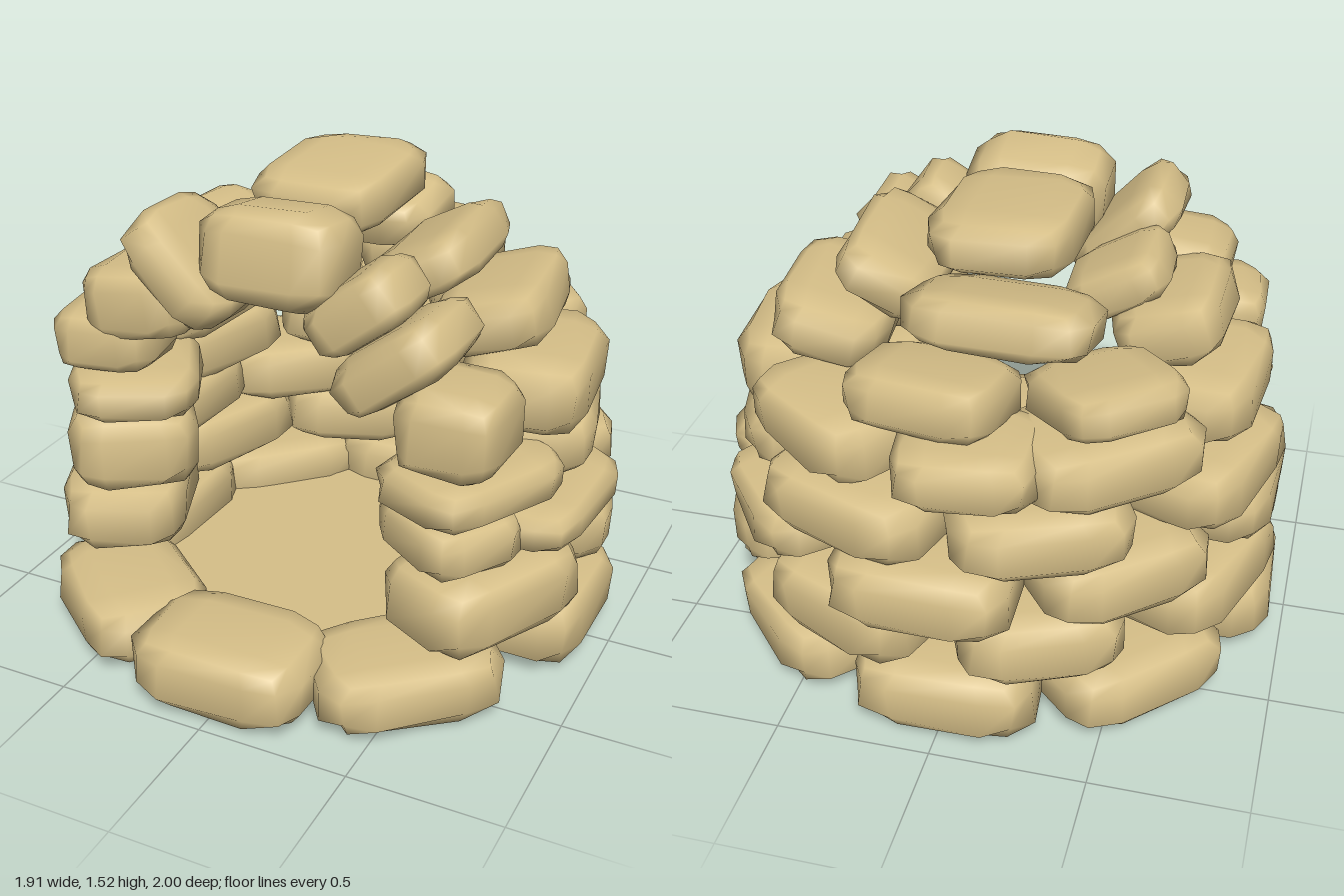
import * as THREE from 'three';
import { mergeVertices } from 'three/addons/utils/BufferGeometryUtils.js';

const rad = THREE.MathUtils.degToRad;
const material = new THREE.MeshStandardMaterial({ color: 0xd6bf88 });

// Pillow-shaped block with chamfered corners and a slightly uneven surface
function stoneGeometry(w, h, d, seed) {
  let g = new THREE.BoxGeometry(1, 1, 1, 3, 3, 3);
  g.deleteAttribute('uv');
  g.deleteAttribute('normal');
  g = mergeVertices(g);
  const p = g.attributes.position;
  const v = new THREE.Vector3();
  const spread = c => (Math.abs(c) > 0.4 ? c : Math.sign(c) * 0.25);
  const n = 3.2;
  for (let i = 0; i < p.count; i++) {
    v.set(spread(p.getX(i)), spread(p.getY(i)), spread(p.getZ(i)));
    const len = Math.pow(Math.abs(2 * v.x) ** n + Math.abs(2 * v.y) ** n + Math.abs(2 * v.z) ** n, 1 / n);
    const wobble = 1.06 + 0.04 * Math.sin(seed * 7.3 + i * 2.4);
    v.multiplyScalar(wobble / len);
    p.setXYZ(i, v.x * w, v.y * h, v.z * d);
  }
  g.computeVertexNormals();
  return g;
}

// Wall courses above the base: outer radius, then stones as
// [angle from front, bottom, top, width, own radius if different]
const courses = [
  { r: 0.94, stones: [[64, 0.2, 0.46, 0.62], [110, 0.23, 0.46, 0.52], [155, 0.22, 0.47, 0.56],
    [-159, 0.23, 0.46, 0.52], [-111, 0.23, 0.46, 0.62], [-66, 0.23, 0.48, 0.6]] },
  { r: 0.94, stones: [[57, 0.44, 0.62, 0.36, 0.87], [88, 0.46, 0.6, 0.62], [128, 0.44, 0.62, 0.54],
    [176, 0.42, 0.65, 0.58, 0.99], [-140, 0.43, 0.65, 0.56], [-94, 0.46, 0.66, 0.6], [-58, 0.46, 0.74, 0.38, 0.91]] },
  { r: 0.94, stones: [[64, 0.61, 0.76, 0.56, 0.87], [105, 0.6, 0.81, 0.58, 0.87], [157, 0.62, 0.84, 0.6],
    [-159, 0.63, 0.84, 0.55], [-108, 0.62, 0.84, 0.6], [-62, 0.73, 0.89, 0.54, 0.89]] },
  { r: 0.87, stones: [[98, 0.78, 1.03, 0.6], [143, 0.8, 1.02, 0.56], [-175, 0.85, 1.03, 0.44, 0.93],
    [-142, 0.82, 1.03, 0.58, 0.9], [-98, 0.84, 1.06, 0.58]] },
];

// Dome stones: [x, y, z, width, height, depth, facing angle, upward tilt]
const domeStones = [
  [0.52, 1.1, -0.15, 0.6, 0.2, 0.38, 97, 14],
  [0.08, 1.08, -0.6, 0.48, 0.19, 0.4, 172, 8],
  [-0.43, 1.09, -0.5, 0.42, 0.16, 0.42, -140, 8],
  [-0.56, 1.14, -0.02, 0.52, 0.21, 0.34, -92, 15],
  [0.33, 1.26, -0.08, 0.58, 0.18, 0.34, 92, 28],
  [-0.1, 1.26, -0.43, 0.58, 0.18, 0.36, 176, 12],
  [-0.38, 1.24, -0.02, 0.36, 0.16, 0.34, -90, 28],
  [-0.05, 1.43, -0.12, 0.45, 0.18, 0.59, 0, -3],
];

// Stones framing the doorway, in the same form
const archStones = [
  [0.58, 0.91, 0.38, 0.37, 0.28, 0.34, 90, 0],
  [0.41, 1.1, 0.39, 0.4, 0.19, 0.43, 90, 38],
  [0.26, 1.22, 0.35, 0.3, 0.2, 0.36, 90, 38],
  [-0.03, 1.34, 0.35, 0.47, 0.31, 0.33, 0, 8],
  [-0.35, 1.26, 0.33, 0.42, 0.18, 0.42, -90, 46],
  [-0.51, 1.13, 0.35, 0.38, 0.25, 0.36, -88, -8],
  [-0.64, 0.98, 0.36, 0.36, 0.21, 0.35, -85, -3],
];

export function createModel() {
  const model = new THREE.Group();
  let seed = 1;

  const addGroup = name => {
    const group = new THREE.Group();
    group.name = name;
    model.add(group);
    return group;
  };

  const addStone = (parent, name, x, y, z, w, h, d, facing, tilt) => {
    const stone = new THREE.Mesh(stoneGeometry(w, h, d, seed++), material);
    stone.name = name;
    stone.position.set(x, y, z);
    stone.rotation.set(-rad(tilt), rad(facing), 0, 'YXZ');
    parent.add(stone);
  };

  const addRingStone = (parent, name, radius, angle, bottom, top, width) => {
    const depth = 0.42;
    const c = radius - depth / 2;
    addStone(parent, name, c * Math.sin(rad(angle)), (bottom + top) / 2, c * Math.cos(rad(angle)),
      width, top - bottom, depth, angle, 0);
  };

  // Closed base ring, reaching slightly further out at the front as a threshold
  const base = addGroup('baseCourse');
  for (let i = 0; i < 8; i++) {
    const a = rad(i * 45);
    const angle = i * 45 - 6 * Math.sin(a) * Math.max(0, Math.cos(a)) * 1.4;
    addRingStone(base, 'baseStone', 0.95 + 0.04 * Math.max(0, Math.cos(a)), angle, 0.01, i % 2 ? 0.22 : 0.25, 0.59);
  }

  // Wall courses, with a doorway left open at the front
  courses.forEach(({ r, stones }, i) => {
    const course = addGroup(`wallCourse${i + 1}`);
    for (const [angle, bottom, top, width, radius = r] of stones) {
      addRingStone(course, 'wallStone', radius, angle, bottom, top, width);
    }
  });

  // Dome and doorway arch
  const dome = addGroup('dome');
  for (const s of domeStones) addStone(dome, 'domeStone', ...s);
  const arch = addGroup('doorwayArch');
  for (const s of archStones) addStone(arch, 'archStone', ...s);

  // Floor inside the ring
  const floor = new THREE.Mesh(new THREE.CylinderGeometry(0.74, 0.74, 0.02, 24), material);
  floor.name = 'floor';
  floor.position.y = 0.08;
  model.add(floor);

  return model;
}
